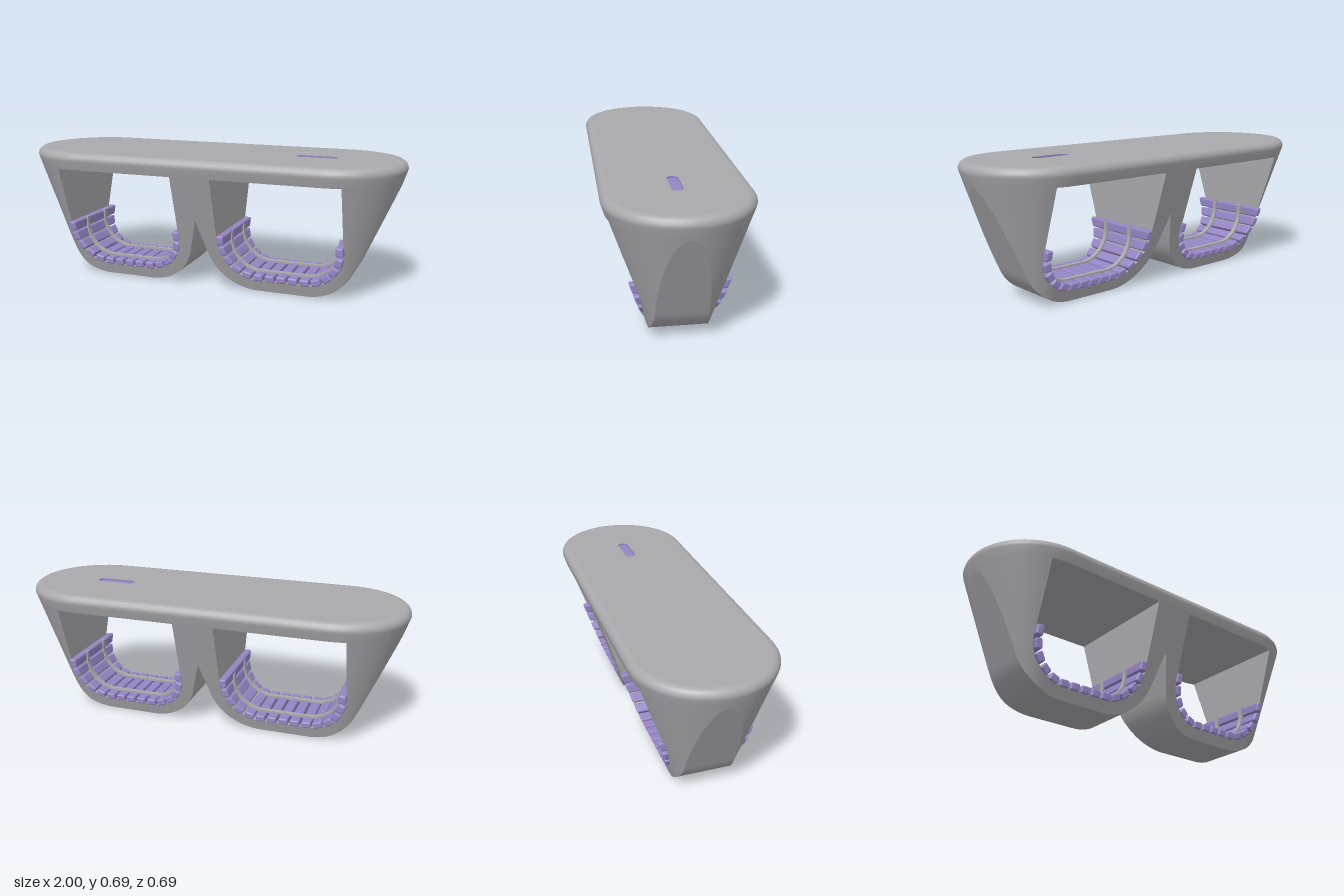
import * as THREE from 'three';
import { toCreasedNormals } from 'three/addons/utils/BufferGeometryUtils.js';
import { RoundedBoxGeometry } from 'three/addons/geometries/RoundedBoxGeometry.js';

const grey = new THREE.MeshStandardMaterial({ color: 0xa9a8ab });
grey.name = 'grey';
const purple = new THREE.MeshStandardMaterial({ color: 0x9585c4 });
purple.name = 'purple';

const END = 0.655;    // centre of the rounded ends
const SLOPE = 0.33;   // outward taper of the sides
const MID = 0.425;    // centre of each opening
const halfDepth = y => 0.13 + SLOPE * y;
// Half depth of the tapered, round-ended body at a point of its front outline
const depthAt = (x, y) => {
  const r = halfDepth(y), d = Math.max(0, Math.abs(x) - END);
  return Math.sqrt(Math.max(0, r * r - d * d));
};

function add(group, name, geometry, material) {
  const mesh = new THREE.Mesh(geometry, material);
  mesh.name = name;
  group.add(mesh);
  return mesh;
}

// Surface through a grid of points given by fn(i, j)
function grid(nu, nv, fn) {
  const pos = [], idx = [];
  for (let i = 0; i <= nu; i++) for (let j = 0; j <= nv; j++) pos.push(...fn(i, j));
  for (let i = 0; i < nu; i++) for (let j = 0; j < nv; j++) {
    const a = i * (nv + 1) + j, b = a + nv + 1;
    idx.push(a, b, b + 1, a, b + 1, a + 1);
  }
  const g = new THREE.BufferGeometry();
  g.setAttribute('position', new THREE.Float32BufferAttribute(pos, 3));
  g.setIndex(idx);
  return toCreasedNormals(g, 0.6);
}

// Wall with a round-ended plan, following a profile of [radius, y]
function roundEndedWall(cx, half, profile) {
  const n = 32, ring = [];
  for (const s of [1, -1]) for (let k = 0; k <= n; k++) {
    ring.push([s, (s > 0 ? 0 : Math.PI) + Math.PI * k / n]);
  }
  ring.push(ring[0]);
  return grid(ring.length - 1, profile.length - 1, (i, j) => {
    const [s, a] = ring[i], [r, y] = profile[j];
    return [cx + s * half + Math.sin(a) * r, y, Math.cos(a) * r];
  });
}

function roundEndedPath(path, cx, half, r) {
  path.absarc(cx + half, 0, r, -Math.PI / 2, Math.PI / 2);
  path.absarc(cx - half, 0, r, Math.PI / 2, Math.PI * 1.5);
  path.closePath();
  return path;
}

// Points along a line or an arc, without the last point
const line = (a, b, n) => Array.from({ length: n }, (_, k) =>
  [a[0] + (b[0] - a[0]) * k / n, a[1] + (b[1] - a[1]) * k / n]);
const arc = (cx, cy, r, a0, a1, n) => Array.from({ length: n }, (_, k) => {
  const a = a0 + (a1 - a0) * k / n;
  return [cx + r * Math.cos(a), cy + r * Math.sin(a)];
});

// One leg loop: a tapered band between an outer outline and the opening
function legLoop() {
  const PI = Math.PI, R = 0.26, cy = 0.26;
  const aIn = PI + 0.27, aOut = -0.428;
  const pIn = [0.3 + R * Math.cos(aIn), cy + R * Math.sin(aIn)];
  const pOut = [0.55 + R * Math.cos(aOut), cy + R * Math.sin(aOut)];
  const tip = [END + halfDepth(0.59), 0.59], top = [END + halfDepth(0.6), 0.6];
  const outer = [
    ...line([0, 0.6], [0, 0.37], 4), ...line([0, 0.37], pIn, 4),
    ...arc(0.3, cy, R, aIn, PI * 1.5, 16), ...line([0.3, 0], [0.55, 0], 4),
    ...arc(0.55, cy, R, -PI / 2, aOut, 16), ...line(pOut, tip, 24),
    ...line(tip, top, 1), top];
  const inner = [
    ...line([0.105, 0.6], [0.105, 0.37], 4), ...line([0.105, 0.37], [0.105, 0.26], 4),
    ...arc(0.305, 0.26, 0.2, PI, PI * 1.5, 16), ...line([0.305, 0.06], [0.545, 0.06], 4),
    ...arc(0.545, 0.26, 0.2, -PI / 2, 0, 16), ...line([0.745, 0.26], [0.745, 0.59], 24),
    ...line([0.745, 0.59], [0.745, 0.6], 1), [0.745, 0.6]];
  const n = outer.length - 1, m = 16;
  const face = (i, j) => {
    const s = 1 - Math.cos(j / m * PI / 2);   // closer rows near the outer edge
    const x = outer[i][0] + (inner[i][0] - outer[i][0]) * s;
    const y = outer[i][1] + (inner[i][1] - outer[i][1]) * s;
    return [x, y, depthAt(x, y)];
  };
  const wall = (pts, dir) => grid(n, 1, (i, j) =>
    [...pts[i], (j ? dir : -dir) * depthAt(...pts[i])]);
  const g = new THREE.Group();
  add(g, 'frontFace', grid(n, m, face), grey);
  add(g, 'backFace', grid(n, m, (i, j) => {
    const [x, y, z] = face(n - i, j);
    return [x, y, -z];
  }), grey);
  add(g, 'outerWall', wall(outer, 1), grey);
  add(g, 'openingWall', wall(inner, -1), grey);
  return g;
}

// Position and direction at a distance along the U of the slats
function alongU(d, r) {
  const up = 0.04, bend = r * Math.PI / 2, flat = 0.24;
  if (d < up) return [-0.12 - r, 0.3 - d, -Math.PI / 2];
  d -= up;
  if (d < bend) {
    const a = Math.PI + d / r;
    return [-0.12 + r * Math.cos(a), 0.26 + r * Math.sin(a), a - Math.PI * 1.5];
  }
  d -= bend;
  if (d < flat) return [-0.12 + d, 0.26 - r, 0];
  d -= flat;
  if (d < bend) {
    const a = -Math.PI / 2 + d / r;
    return [0.12 + r * Math.cos(a), 0.26 + r * Math.sin(a), a + Math.PI / 2];
  }
  return [0.12 + r, 0.26 + d - bend, Math.PI / 2];
}

// Slatted cradle with two thin rails
function cradle() {
  const g = new THREE.Group(), count = 15, r = 0.184;
  const pitch = (0.08 + r * Math.PI + 0.24) / count;
  for (let k = 0; k < count; k++) {
    const [x, y, a] = alongU((k + 0.5) * pitch, r);
    const geo = new RoundedBoxGeometry(0.05, 0.038, 2 * (halfDepth(y) + 0.006), 2, 0.009);
    geo.rotateZ(a);
    // slant the slat ends with the taper of the body
    const p = geo.attributes.position;
    for (let i = 0; i < p.count; i++) {
      p.setZ(i, p.getZ(i) + Math.sign(p.getZ(i)) * SLOPE * p.getY(i));
    }
    geo.translate(x, y, 0);
    add(g, 'slat', geo, purple);
  }
  const rail = new THREE.Shape();
  rail.moveTo(-0.29, 0.3);
  rail.absarc(-0.12, 0.26, 0.17, Math.PI, Math.PI * 1.5);
  rail.absarc(0.12, 0.26, 0.17, -Math.PI / 2, 0);
  rail.lineTo(0.29, 0.3);
  rail.lineTo(0.277, 0.3);
  rail.absarc(0.12, 0.26, 0.157, 0, -Math.PI / 2, true);
  rail.absarc(-0.12, 0.26, 0.157, Math.PI * 1.5, Math.PI, true);
  rail.lineTo(-0.277, 0.3);
  const railGeo = toCreasedNormals(new THREE.ExtrudeGeometry(rail,
    { depth: 0.024, bevelEnabled: false, curveSegments: 12 }), 0.6);
  for (const z of [0.095, -0.095]) add(g, 'rail', railGeo, grey).position.z = z - 0.012;
  return g;
}

export function createModel() {
  const model = new THREE.Group();
  model.name = 'twinCradleStand';

  // Top slab with a rounded rim
  const slab = new THREE.Group();
  slab.name = 'topSlab';
  add(slab, 'rim', roundEndedWall(0, END, [[0.328, 0.6], [0.343, 0.645], [0.345, 0.655],
    [0.342, 0.668], [0.334, 0.68], [0.322, 0.688], [0.308, 0.69]]), grey);
  const topShape = roundEndedPath(new THREE.Shape(), 0, END, 0.308);
  topShape.holes.push(roundEndedPath(new THREE.Path(), 0.555, 0.075, 0.027));
  add(slab, 'topFace', new THREE.ShapeGeometry(topShape, 32).rotateX(-Math.PI / 2).translate(0, 0.69, 0), grey);
  const under = roundEndedPath(new THREE.Shape(), 0, END, 0.328);
  add(slab, 'underside', new THREE.ShapeGeometry(under, 32).rotateX(Math.PI / 2).translate(0, 0.6, 0), grey);

  // Shallow slot in the top
  add(slab, 'slotWall', roundEndedWall(0.555, 0.075, [[0.027, 0.69], [0.027, 0.682]]), purple);
  const floor = roundEndedPath(new THREE.Shape(), 0.555, 0.075, 0.027);
  add(slab, 'slotFloor', new THREE.ShapeGeometry(floor, 16).rotateX(-Math.PI / 2).translate(0, 0.682, 0), purple);
  model.add(slab);

  // Two leg loops, each holding a cradle
  for (const turn of [0, Math.PI]) {
    const loop = legLoop();
    loop.name = 'legLoop';
    const seat = cradle();
    seat.name = 'slattedCradle';
    seat.position.x = MID;
    loop.add(seat);
    loop.rotation.y = turn;
    model.add(loop);
  }
  return model;
}
